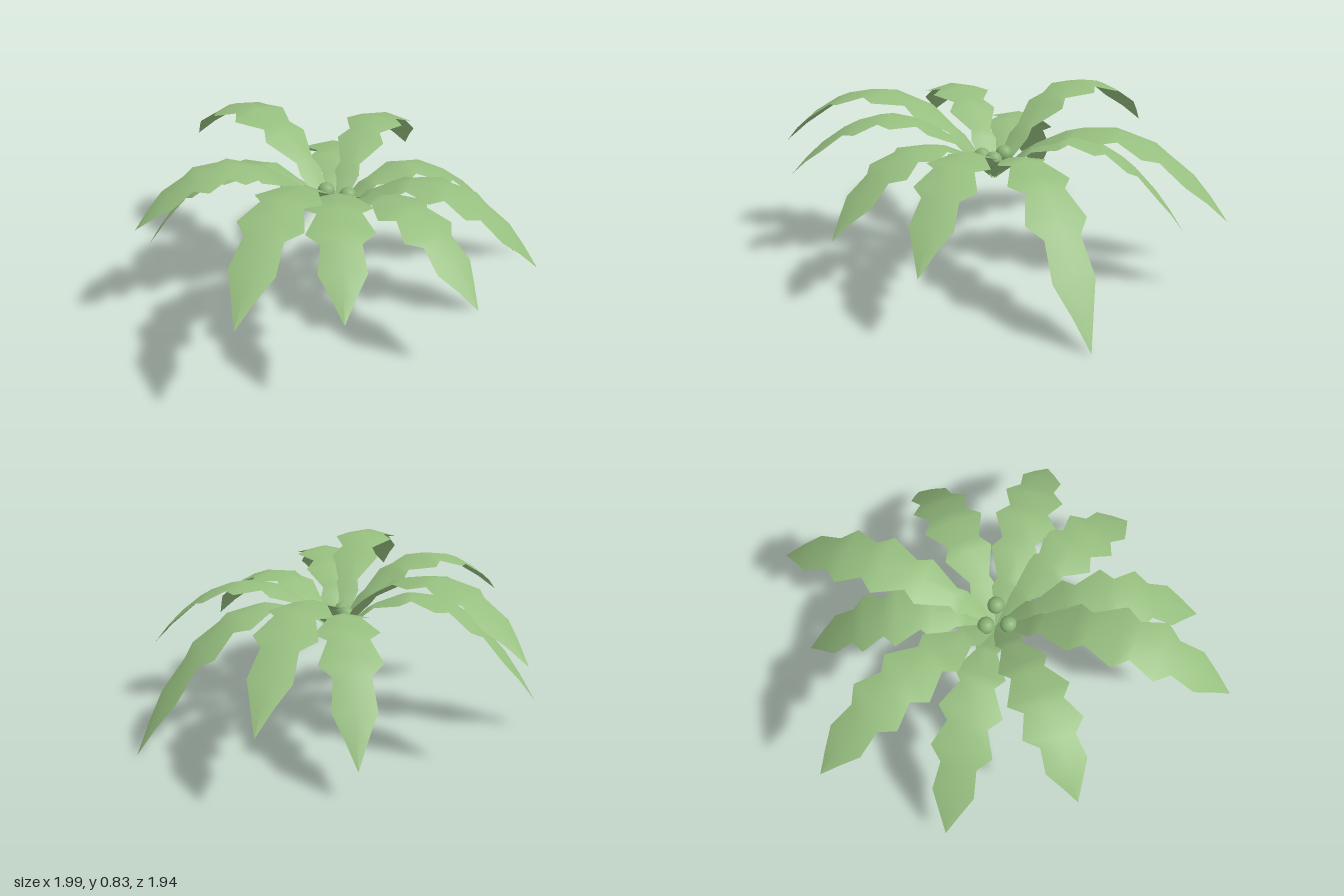
import * as THREE from 'three';

const leafGreen = new THREE.MeshStandardMaterial({ color: 0x96be7f, side: THREE.DoubleSide });
leafGreen.name = 'leaf green';
const berryGreen = new THREE.MeshStandardMaterial({ color: 0x88b274 });
berryGreen.name = 'berry green';

// Crown where all leaves meet
const BASE = new THREE.Vector3(-0.06, 0.44, 0.08);

// Serrated outline: [fraction of length, half width]
const OUTLINE = [
  [0, 0.015], [0.15, 0.065], [0.19, 0.05], [0.32, 0.12], [0.375, 0.08], [0.5, 0.15],
  [0.56, 0.095], [0.67, 0.145], [0.73, 0.085], [0.84, 0.1], [0.92, 0.05], [1, 0],
];

// Each leaf: tip position and the height of its arch
const LEAVES = [
  [-0.36, 0.53, -0.97, 0.83],
  [0.36, 0.14, -0.77, 0.64],
  [0.79, 0.36, -0.68, 0.74],
  [0.99, 0.0, 0.15, 0.64],
  [0.64, 0.32, 0.76, 0.68],
  [0.17, 0.35, 0.97, 0.68],
  [-0.46, 0.47, 0.97, 0.76],
  [-0.88, 0.52, 0.88, 0.83],
  [-1.0, 0.55, 0.0, 0.79],
  [-0.8, 0.14, -0.57, 0.66],
];

// Arched leaf: parabolic midrib with edges folded slightly down
function leafGeometry(tx, ty, tz, top) {
  const dx = tx - BASE.x, dz = tz - BASE.z;
  const len = Math.hypot(dx, dz);
  const sx = -dz / len, sz = dx / len;
  const m = (ty - BASE.y) / len;
  const k = 4 * (top - BASE.y) / len - 2 * m;
  const a = (k + Math.sqrt(Math.max(0, k * k - 4 * m * m))) / 2;
  const pos = [], index = [];
  OUTLINE.forEach(([t, w], i) => {
    const y = BASE.y + len * t * (m + a * (1 - t));
    for (const side of [-1, 0, 1]) {
      pos.push(
        BASE.x + dx * t + sx * w * side,
        y - Math.abs(side) * w * 0.22,
        BASE.z + dz * t + sz * w * side,
      );
    }
    if (i === 0) return;
    const p = (i - 1) * 3, q = i * 3;
    for (const c of [0, 1]) {
      index.push(p + c, p + c + 1, q + c);
      index.push(p + c + 1, q + c + 1, q + c);
    }
  });
  const geo = new THREE.BufferGeometry();
  geo.setAttribute('position', new THREE.Float32BufferAttribute(pos, 3));
  geo.setIndex(index);
  geo.computeVertexNormals();
  return geo;
}

export function createModel() {
  const plant = new THREE.Group();
  plant.name = 'plant';

  LEAVES.forEach((leaf, i) => {
    const mesh = new THREE.Mesh(leafGeometry(...leaf), leafGreen);
    mesh.name = `leaf${i + 1}`;
    plant.add(mesh);
  });

  // Cluster of berries over the crown
  const berry = new THREE.SphereGeometry(0.042, 12, 8);
  [[-0.07, 0.545, 0.02], [-0.11, 0.535, 0.12], [0, 0.545, 0.11]].forEach((p, i) => {
    const mesh = new THREE.Mesh(berry, berryGreen);
    mesh.name = `berry${i + 1}`;
    mesh.position.set(...p);
    plant.add(mesh);
  });

  return plant;
}
